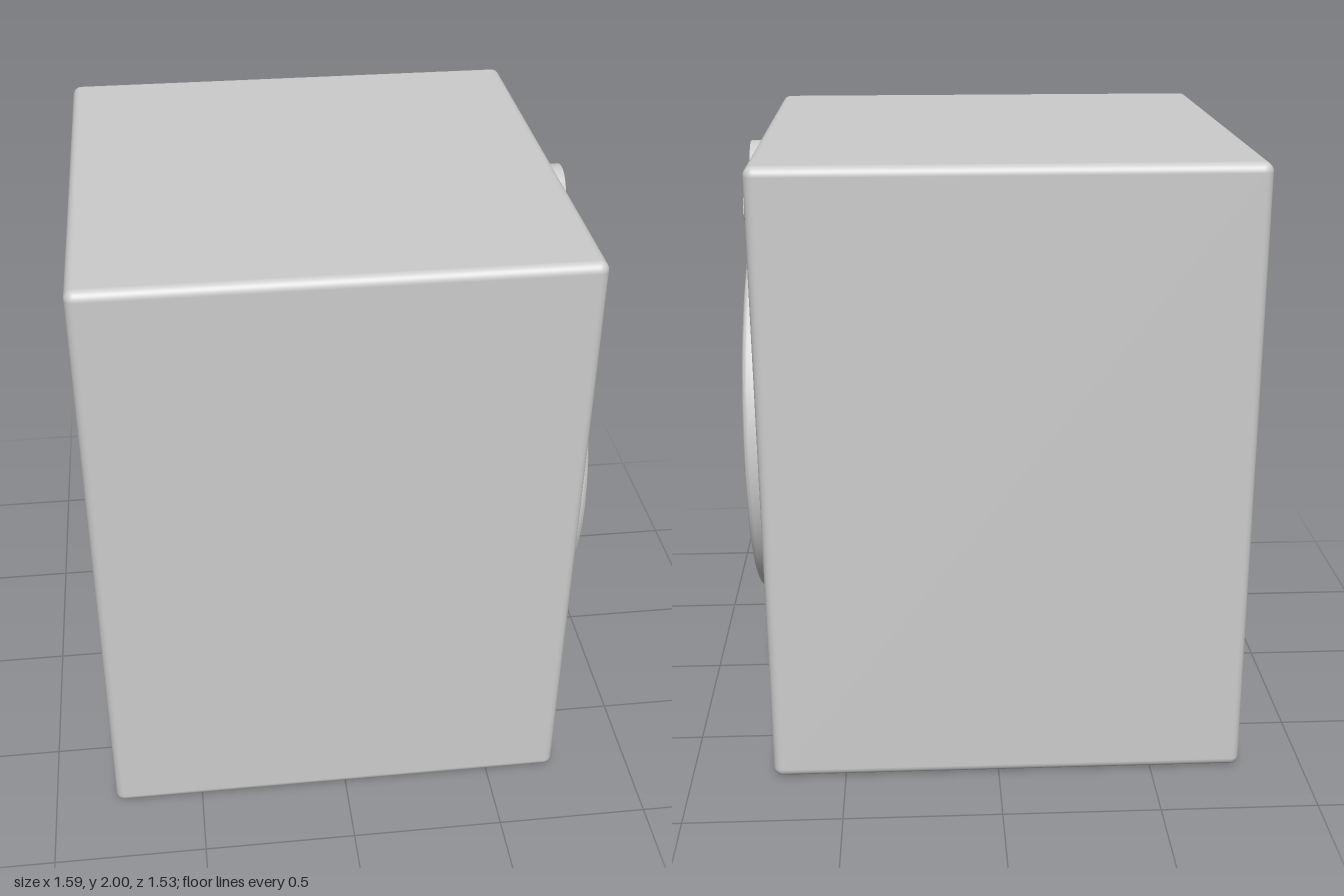
import * as THREE from 'three';
import { RoundedBoxGeometry } from 'three/addons/geometries/RoundedBoxGeometry.js';
import { toCreasedNormals } from 'three/addons/utils/BufferGeometryUtils.js';

const FACE = 0.735; // x of the panel that carries the door
const BACK = -0.795;

export function createModel() {
  const model = new THREE.Group();
  model.name = 'washingMachine';
  const grey = new THREE.MeshStandardMaterial({ color: 0xcccccc });
  grey.name = 'light grey';

  const add = (name, geometry, x, y, z) => {
    const mesh = new THREE.Mesh(geometry, grey);
    mesh.name = name;
    mesh.position.set(x, y, z);
    model.add(mesh);
    return mesh;
  };

  // Turned part whose axis points along +x; profile pairs are [radius, depth]
  const turned = (name, profile, y, z, segments = 48) => {
    const points = profile.map(([r, d]) => new THREE.Vector2(r, d));
    const geometry = toCreasedNormals(new THREE.LatheGeometry(points, segments), 0.6);
    geometry.rotateZ(-Math.PI / 2);
    return add(name, geometry, FACE, y, z);
  };

  // Solid disc with a small rounded rim
  const disc = (name, radius, depth, bevel, y, z) => turned(name, [
    [radius, -0.005], [radius, depth - bevel],
    [radius - bevel * 0.3, depth - bevel * 0.3],
    [radius - bevel, depth], [0, depth],
  ], y, z);

  // Cabinet
  add('cabinet', new RoundedBoxGeometry(FACE - BACK, 2, 1.53, 5, 0.03), (FACE + BACK) / 2, 1, 0);

  // Door ring with rounded outer rim and an open centre
  const ring = [[0.632, -0.005], [0.632, 0.004], [0.642, 0.008], [0.642, 0.033]];
  for (let i = 1; i <= 6; i++) {
    const a = (i / 6) * Math.PI / 2;
    ring.push([0.62 + 0.022 * Math.cos(a), 0.033 + 0.022 * Math.sin(a)]);
  }
  ring.push([0.515, 0.055], [0.51, 0.052], [0.505, 0.045], [0.505, -0.005]);
  turned('doorRing', ring, 1.035, 0, 96);

  // Door window, set back inside the ring
  turned('doorWindow', [[0.506, 0.008], [0, 0.008]], 1.035, 0, 96);

  // Programme dial and buttons
  disc('programmeDial', 0.088, 0.05, 0.004, 1.865, 0);
  for (const side of [-1, 1]) disc('dialButton', 0.03, 0.019, 0.002, 1.775, side * 0.137);
  disc('powerButton', 0.036, 0.009, 0.001, 1.86, -0.65);

  // Thin plates: [name, x, low y, high y, low z, high z]
  const plates = [
    ['detergentDrawer', FACE, 1.69, 1.93, 0.21, 0.66],
    ['displayPanel', FACE, 1.79, 1.92, -0.6, -0.28],
    ['serviceHatch', BACK, 0.05, 0.22, -0.65, -0.33],
  ];
  for (const [name, x, y0, y1, z0, z1] of plates) {
    add(name, new THREE.BoxGeometry(0.008, y1 - y0, z1 - z0), x, (y0 + y1) / 2, (z0 + z1) / 2);
  }

  return model;
}
